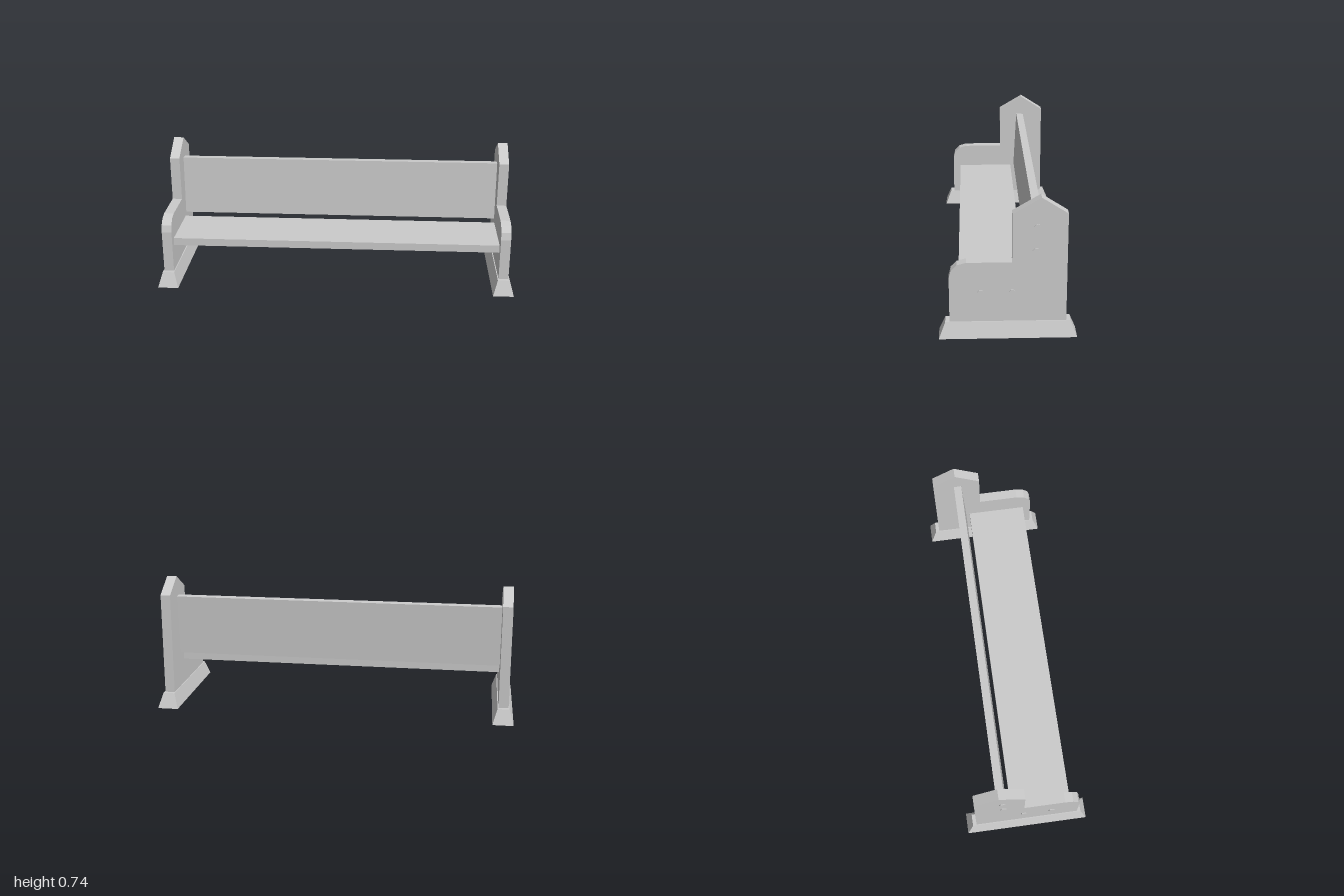
import * as THREE from 'three';

const material = new THREE.MeshStandardMaterial({ color: 0xcccccc, flatShading: true });

function part(name, geometry, x, y, z) {
  const mesh = new THREE.Mesh(geometry, material);
  mesh.name = name;
  mesh.position.set(x, y, z);
  return mesh;
}

// Upright end board: profile in (z, y), extruded along x
function endPanelGeometry(thickness) {
  const profile = [
    [0.29, 0], [0.29, 0.32], [0.28, 0.36], [0.25, 0.39], [0.205, 0.402],
    [-0.02, 0.402], [-0.02, 0.652], [-0.16, 0.735], [-0.29, 0.652], [-0.29, 0],
  ];
  const shape = new THREE.Shape(profile.map(([z, y]) => new THREE.Vector2(-z, y)));
  const geometry = new THREE.ExtrudeGeometry(shape, { depth: thickness, bevelEnabled: false });
  geometry.translate(0, 0, -thickness / 2);
  geometry.rotateY(Math.PI / 2);
  return geometry;
}

// Foot: a box whose top is narrowed on all four sides
function footGeometry() {
  const height = 0.082;
  const geometry = new THREE.BoxGeometry(0.115, height, 0.688);
  const pos = geometry.attributes.position;
  for (let i = 0; i < pos.count; i++) {
    if (pos.getY(i) > 0) {
      pos.setX(i, Math.sign(pos.getX(i)) * 0.0325);
      pos.setZ(i, Math.sign(pos.getZ(i)) * 0.311);
    }
  }
  geometry.translate(0, height / 2 + 0.003, 0);
  geometry.computeVertexNormals();
  return geometry;
}

export function createModel() {
  const bench = new THREE.Group();
  bench.name = 'bench';

  const panel = endPanelGeometry(0.055);
  const foot = footGeometry();
  const bolt = new THREE.CylinderGeometry(0.0168, 0.0168, 0.02, 6);
  bolt.rotateY(0.17);
  bolt.rotateZ(Math.PI / 2);
  const boltSpots = [[0.241, 0.136], [0.241, -0.021], [0.459, -0.135], [0.585, -0.141]];

  // Matching ends with feet and bolt heads
  for (const side of [1, -1]) {
    const end = new THREE.Group();
    end.name = side > 0 ? 'leftEnd' : 'rightEnd';
    end.add(part('endPanel', panel, side * 0.9425, 0, 0));
    end.add(part('foot', foot, side * 0.9425, 0, 0));
    for (const [y, z] of boltSpots) end.add(part('boltHead', bolt, side * 0.965, y, z));
    bench.add(end);
  }

  // Seat board and slightly reclined backrest
  bench.add(part('seat', new THREE.BoxGeometry(1.84, 0.043, 0.333), 0, 0.246, 0.078));
  const backrest = part('backrest', new THREE.BoxGeometry(1.84, 0.337, 0.043), 0, 0.452, -0.14);
  backrest.rotation.x = -0.05;
  bench.add(backrest);

  return bench;
}
